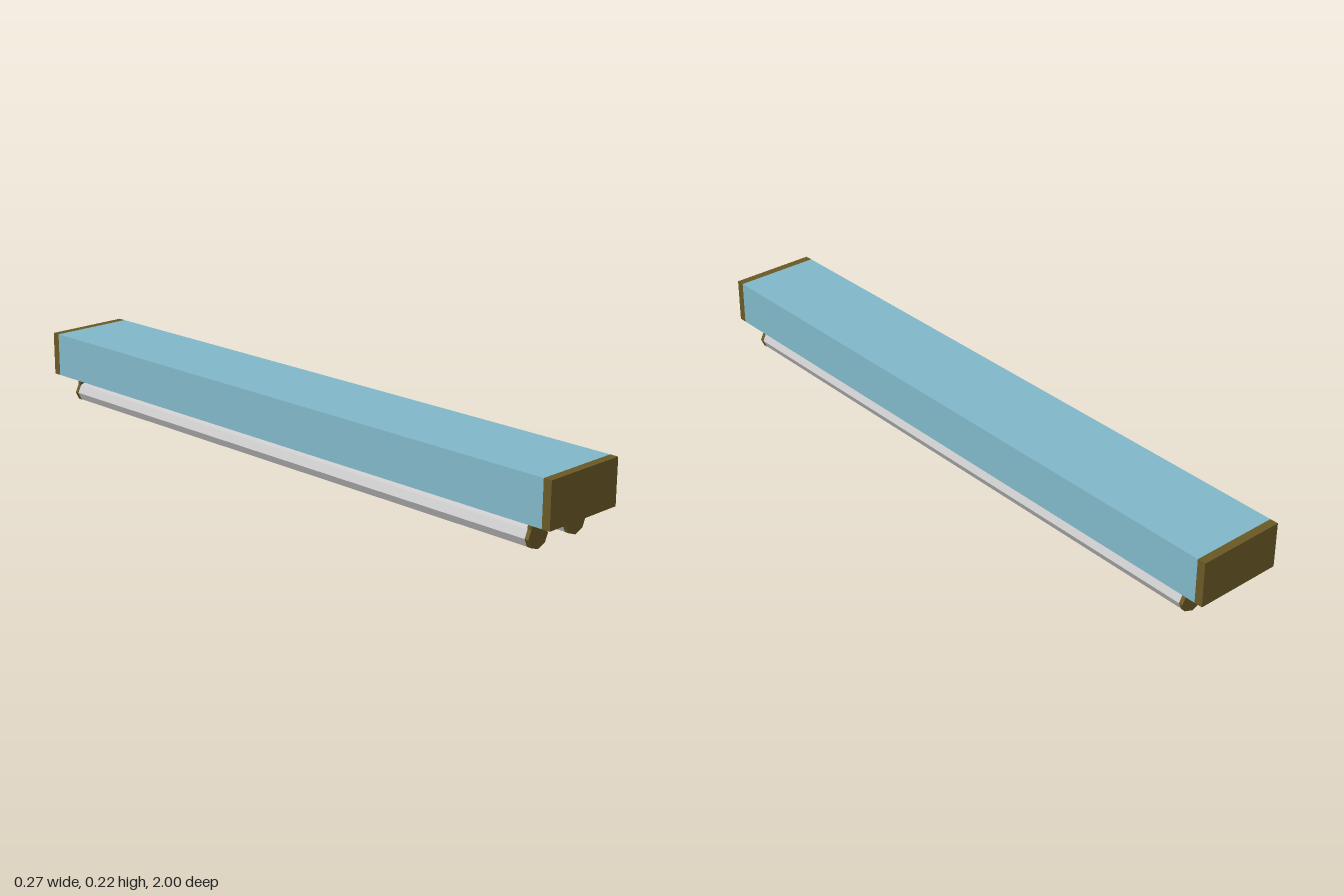
import * as THREE from 'three';

const mat = (color) => new THREE.MeshStandardMaterial({ color, flatShading: true });

export function createModel() {
  const model = new THREE.Group();
  const blue = mat(0x82b9cb), brown = mat(0x6b5926), grey = mat(0xcccccc);

  const add = (name, geometry, material, x, y, z) => {
    const mesh = new THREE.Mesh(geometry, material);
    mesh.name = name;
    mesh.position.set(x, y, z);
    model.add(mesh);
    return mesh;
  };

  const width = 0.266, bottom = 0.083, top = 0.216;
  const midY = (bottom + top) / 2, height = top - bottom;
  const tubeY = 0.034, tubeX = 0.076, holderZ = 0.908, holderDepth = 0.012;

  // Long lamp housing
  add('housing', new THREE.BoxGeometry(width, height, 1.95), blue, 0, midY, 0);

  // Eight-sided fluorescent tube lying along z, slightly flattened
  const tubeGeometry = new THREE.CylinderGeometry(1, 1, holderZ * 2, 8);
  tubeGeometry.rotateX(Math.PI / 2);
  tubeGeometry.scale(0.038, 0.033, 1);

  // Tube holder: neck at the top, faceted cup below
  const holderShape = new THREE.Shape([
    [-0.028, bottom], [-0.028, 0.057], [-0.039, tubeY], [-0.028, 0.0105], [0, 0],
    [0.028, 0.0105], [0.039, tubeY], [0.028, 0.057], [0.028, bottom],
  ].map(([x, y]) => new THREE.Vector2(x, y)));
  const holderGeometry = new THREE.ExtrudeGeometry(holderShape, { depth: holderDepth, bevelEnabled: false });
  holderGeometry.translate(0, 0, -holderDepth / 2);

  for (const end of [1, -1]) {
    add(end > 0 ? 'frontEndCap' : 'backEndCap',
      new THREE.BoxGeometry(width, height, 0.025), brown, 0, midY, end * 0.9875);
  }

  for (const side of [1, -1]) {
    const label = side > 0 ? 'left' : 'right';
    add(label + 'Tube', tubeGeometry, grey, side * tubeX, tubeY, 0);
    for (const end of [1, -1]) {
      add(label + (end > 0 ? 'Front' : 'Back') + 'TubeHolder', holderGeometry, brown,
        side * tubeX, 0, end * (holderZ + holderDepth / 2));
    }
  }
  return model;
}
